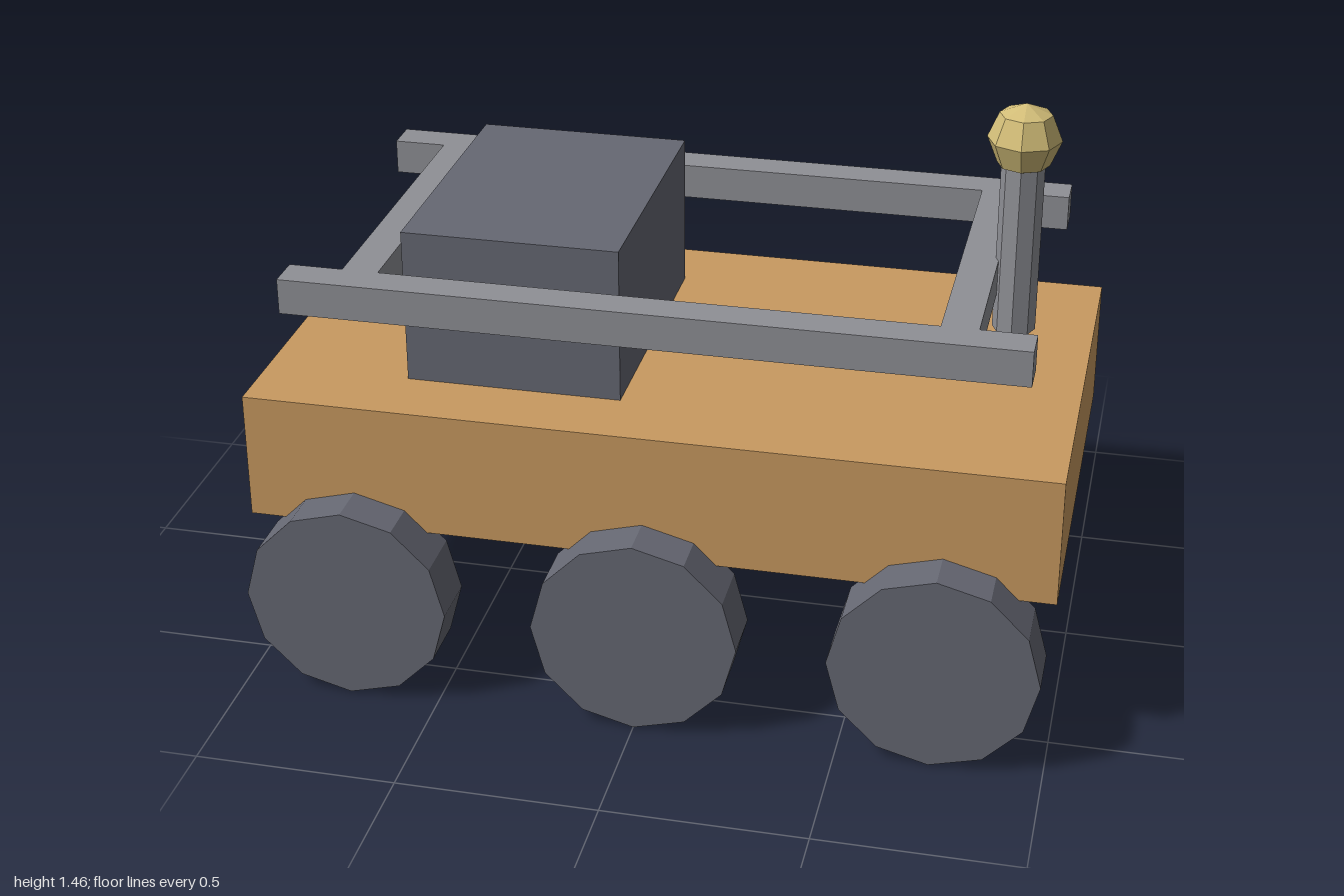
import * as THREE from 'three';

function material(name, color) {
  const m = new THREE.MeshStandardMaterial({ color, flatShading: true });
  m.name = name;
  return m;
}

export function createModel() {
  const model = new THREE.Group();
  model.name = 'rover';
  const orange = material('orange', 0xc99a60);
  const darkGrey = material('darkGrey', 0x666873);
  const steel = material('steel', 0x8f9096);
  const brass = material('brass', 0xd2bd78);

  function add(name, geometry, mat, x, y, z) {
    const mesh = new THREE.Mesh(geometry, mat);
    mesh.name = name;
    mesh.position.set(x, y, z);
    model.add(mesh);
    return mesh;
  }

  // Chassis and equipment box
  add('chassis', new THREE.BoxGeometry(2, 0.325, 1.09), orange, 0, 0.5825, 0);
  add('equipmentBox', new THREE.BoxGeometry(0.54, 0.395, 0.726), darkGrey, -0.365, 0.9425, 0);

  // Six twelve-sided wheels
  const wheel = new THREE.CylinderGeometry(0.255, 0.255, 0.145, 12).rotateX(Math.PI / 2);
  for (const side of [-1, 1]) {
    for (const x of [-0.727, 0, 0.727]) {
      add('wheel', wheel, darkGrey, x, 0.255, side * 0.5825);
    }
  }

  // Raised rail frame: two long rails joined by two crossbars
  const rail = new THREE.BoxGeometry(1.81, 0.09, 0.09);
  const crossbar = new THREE.BoxGeometry(0.09, 0.09, 0.82);
  for (const side of [-1, 1]) {
    add('rail', rail, steel, 0, 1.005, side * 0.455);
    add('crossbar', crossbar, steel, side * 0.726, 1.005, 0);
  }

  // Mast with a faceted knob
  add('mast', new THREE.CylinderGeometry(0.053, 0.053, 0.44, 8), steel, 0.815, 1.087, 0);
  add('mastKnob', new THREE.SphereGeometry(0.09, 8, 4), brass, 0.815, 1.365, 0);

  return model;
}
